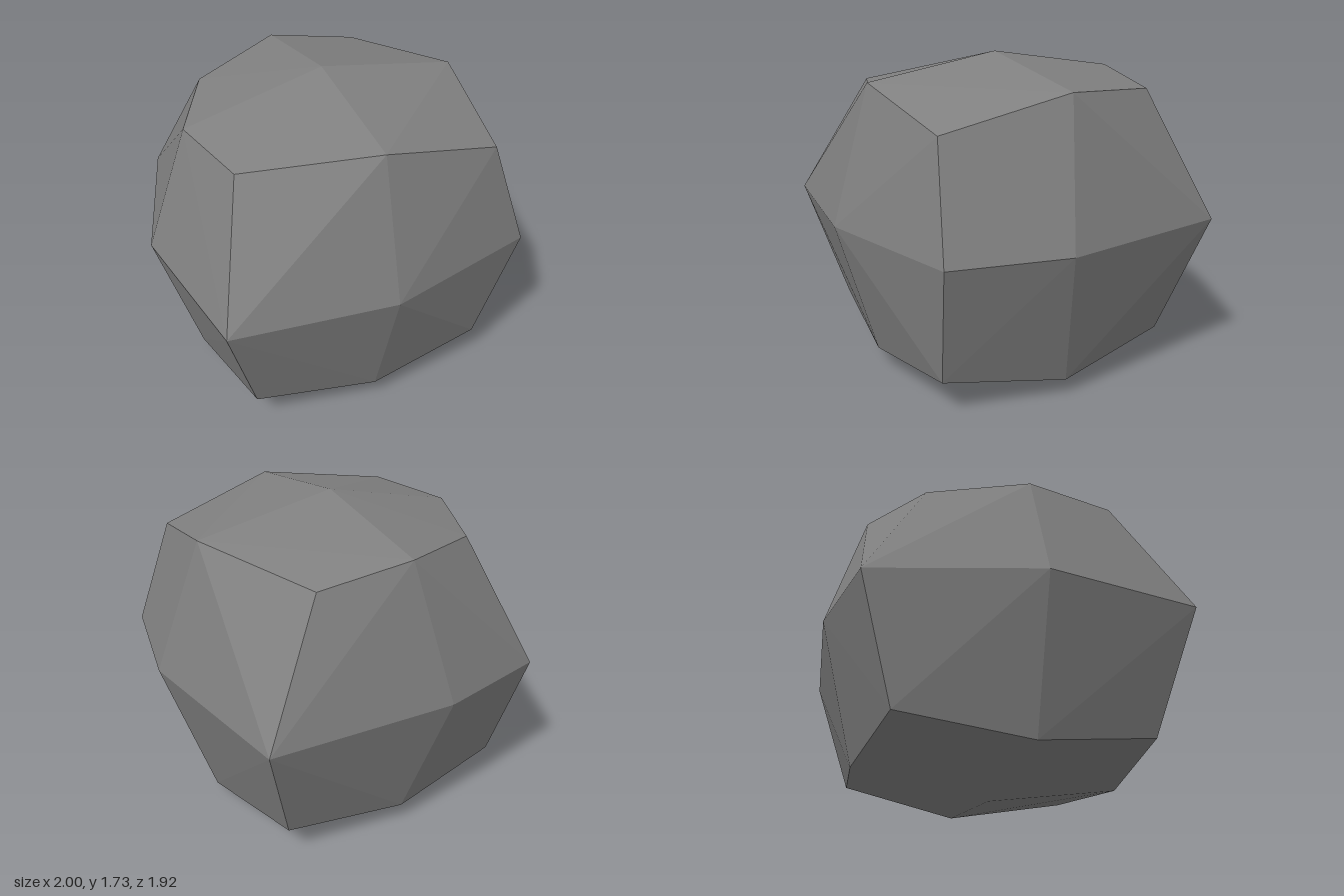
import * as THREE from 'three';
import { ConvexGeometry } from 'three/addons/geometries/ConvexGeometry.js';

export function createModel() {
  const group = new THREE.Group();
  group.name = 'rock';
  const stoneGrey = new THREE.MeshStandardMaterial({ color: 0x808080 });
  stoneGrey.name = 'stone grey';

  // Faceted stone: three rings of eight corners between two poles,
  // each ring running from +x round through +z
  const bottomRing = [];
  for (const sx of [-1, 1]) {
    bottomRing.push([sx * 0.77, 0.09, 0], [0, 0.12, sx * 0.745]);
    for (const sz of [-1, 1]) bottomRing.push([sx * 0.67, 0.2, sz * 0.67]);
  }
  const middleRing = [
    [1, 0.12], [0.86, 0.74], [0, 0.96], [-0.86, 0.86],
    [-1, 0], [-0.74, -0.86], [-0.13, -0.96], [0.86, -0.86],
  ].map(([x, z]) => [x, 0.87, z]);
  const topRing = [
    [0.77, 1.61, 0], [0.67, 1.45, 0.67], [0, 1.61, 0.745], [-0.66, 1.53, 0.5],
    [-0.76, 1.53, 0], [-0.52, 1.53, -0.51], [0, 1.61, -0.745], [0.49, 1.54, -0.67],
  ];
  const poles = [[0, 0, 0], [0, 1.73, 0]];

  const points = [...bottomRing, ...middleRing, ...topRing, ...poles]
    .map((p) => new THREE.Vector3(...p));
  const stone = new THREE.Mesh(new ConvexGeometry(points), stoneGrey);
  stone.name = 'stone';
  group.add(stone);
  return group;
}
